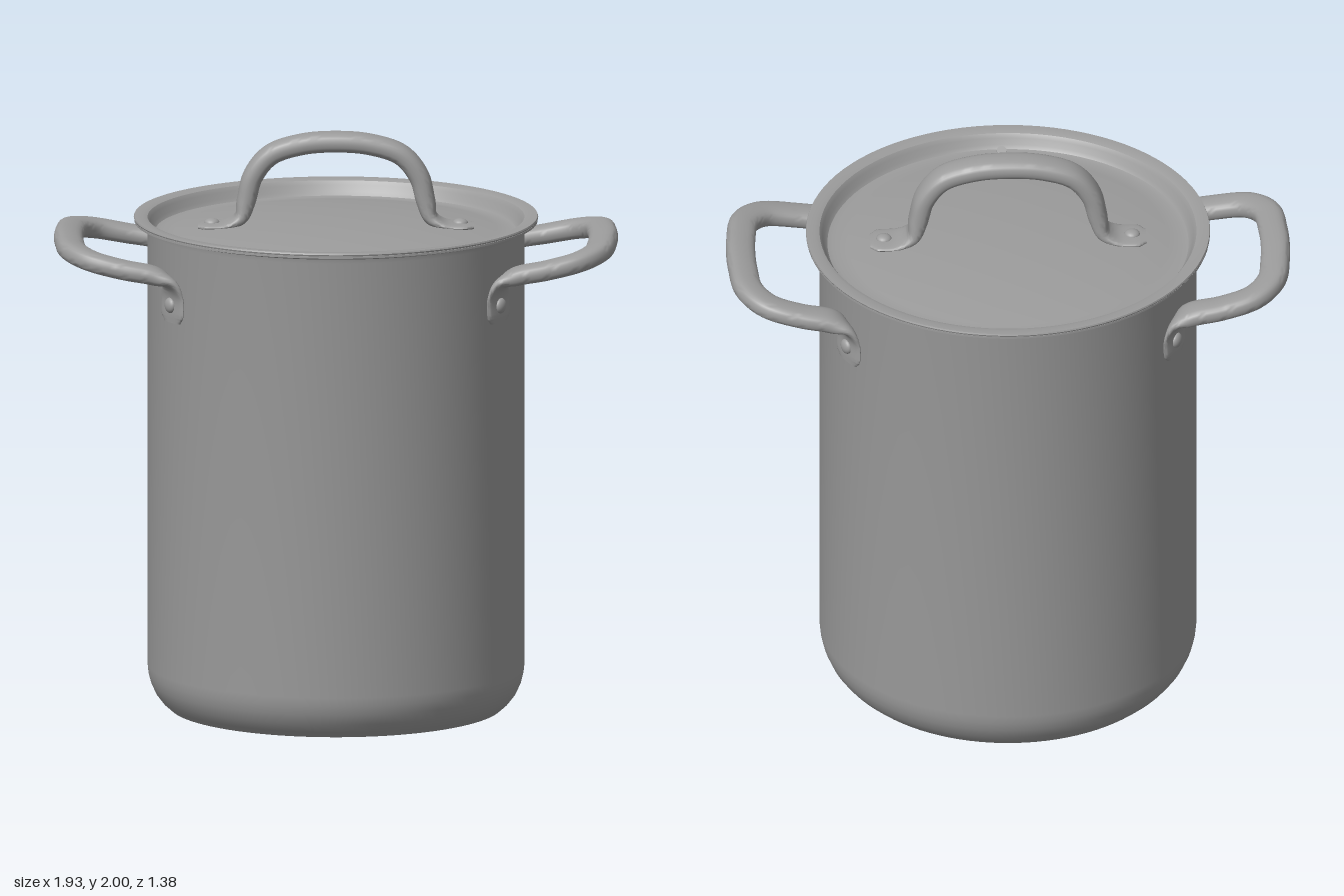
import * as THREE from 'three';
import { toCreasedNormals } from 'three/addons/utils/BufferGeometryUtils.js';

const steel = new THREE.MeshStandardMaterial({ color: 0x9c9c9c });
steel.name = 'brushed steel';

function part(name, geometry) {
  const mesh = new THREE.Mesh(geometry, steel);
  mesh.name = name;
  return mesh;
}

function turned(name, profile) {
  const pts = profile.map(([r, y]) => new THREE.Vector2(r, y));
  return part(name, toCreasedNormals(new THREE.LatheGeometry(pts, 96), 0.6));
}

// Sweeps a rounded bar along stations { p: centre, w: width direction, s: [half width, half thickness] }
function sweep(stations, steps = 120, sides = 24) {
  const path = new THREE.CatmullRomCurve3(stations.map(a => new THREE.Vector3(...a.p)));
  const curve = list => new THREE.CatmullRomCurve3(list, false, 'catmullrom', 0.4);
  const widths = curve(stations.map(a => new THREE.Vector3(...a.w)));
  const sizes = curve(stations.map(a => new THREE.Vector3(...a.s, 0)));
  const pos = [], index = [];
  const soft = v => Math.sign(v) * Math.abs(v) ** 0.75;
  for (let i = 0; i <= steps; i++) {
    const t = i / steps, c = path.getPoint(t), s = sizes.getPoint(t);
    const T = path.getTangent(t), W = widths.getPoint(t);
    W.addScaledVector(T, -W.dot(T)).normalize();
    const N = T.clone().cross(W);
    for (let j = 0; j < sides; j++) {
      const a = j / sides * Math.PI * 2;
      const v = c.clone().addScaledVector(W, soft(Math.cos(a)) * s.x).addScaledVector(N, soft(Math.sin(a)) * s.y);
      pos.push(v.x, v.y, v.z);
      if (i < steps) {
        const k = (j + 1) % sides, r = i * sides, q = r + sides;
        index.push(r + j, r + k, q + j, r + k, q + k, q + j);
      }
    }
  }
  // end caps
  const last = steps * sides;
  for (let j = 1; j < sides - 1; j++) {
    index.push(0, j + 1, j, last, last + j, last + j + 1);
  }
  const g = new THREE.BufferGeometry();
  g.setAttribute('position', new THREE.Float32BufferAttribute(pos, 3));
  g.setIndex(index);
  return toCreasedNormals(g, 0.9);
}

// Completes a symmetric bar from its first half, whose last station is the middle
function mirrored(half, axis, flipWidth) {
  const rest = half.slice(0, -1).reverse().map(({ p, w, s }) => ({
    p: p.map((v, i) => (i === axis ? -v : v)),
    w: flipWidth ? w.map((v, i) => (i === axis ? -v : v)) : w,
    s,
  }));
  return [...half, ...rest];
}

// Low domed rivet head whose axis points along dir
function rivet(x, y, z, dir) {
  const g = new THREE.SphereGeometry(0.027, 20, 8, 0, Math.PI * 2, 0, Math.PI / 2);
  g.scale(1, 0.6, 1);
  const m = part('rivet', g);
  m.position.set(x, y, z);
  m.quaternion.setFromUnitVectors(new THREE.Vector3(0, 1, 0), dir.clone().normalize());
  return m;
}

function sideHandle() {
  const g = new THREE.Group();
  const wall = [-0.51, 0, 0.86], leg = [0, 0, 1];
  const half = [
    { p: [0.558, 1.4, 0.334], w: wall, s: [0.05, 0.008] },
    { p: [0.558, 1.425, 0.334], w: wall, s: [0.07, 0.009] },
    { p: [0.558, 1.49, 0.334], w: wall, s: [0.07, 0.01] },
    { p: [0.571, 1.537, 0.336], w: [-0.35, 0, 0.93], s: [0.064, 0.02] },
    { p: [0.62, 1.562, 0.336], w: leg, s: [0.056, 0.031] },
    { p: [0.72, 1.581, 0.333], w: leg, s: [0.052, 0.033] },
    { p: [0.83, 1.605, 0.305], w: [0.4, 0.08, 0.9], s: [0.051, 0.034] },
    { p: [0.893, 1.622, 0.225], w: [0.88, 0.17, 0.4], s: [0.05, 0.034] },
    { p: [0.911, 1.629, 0.1], w: [1, 0.2, 0.1], s: [0.05, 0.034] },
    { p: [0.915, 1.631, 0], w: [1, 0.2, 0], s: [0.05, 0.034] },
  ];
  g.add(part('handleBar', sweep(mirrored(half, 2, true))));
  for (const s of [1, -1]) {
    g.add(rivet(0.565, 1.46, s * 0.338, new THREE.Vector3(0.86, 0, s * 0.51)));
  }
  return g;
}

function lidHandle() {
  const g = new THREE.Group();
  g.name = 'lidHandle';
  const w = [0, 0, 1];
  const half = [
    { p: [0.472, 1.673, 0], w, s: [0.045, 0.008] },
    { p: [0.445, 1.675, 0], w, s: [0.07, 0.009] },
    { p: [0.375, 1.679, 0], w, s: [0.07, 0.011] },
    { p: [0.325, 1.703, 0], w, s: [0.06, 0.024] },
    { p: [0.307, 1.76, 0], w, s: [0.056, 0.033] },
    { p: [0.284, 1.845, 0], w, s: [0.055, 0.035] },
    { p: [0.225, 1.918, 0], w, s: [0.055, 0.035] },
    { p: [0.12, 1.955, 0], w, s: [0.055, 0.035] },
    { p: [0, 1.965, 0], w, s: [0.055, 0.035] },
  ];
  g.add(part('lidHandleBar', sweep(mirrored(half, 0, false))));
  for (const s of [1, -1]) g.add(rivet(s * 0.425, 1.682, 0, new THREE.Vector3(0, 1, 0)));
  return g;
}

export function createModel() {
  const model = new THREE.Group();
  model.name = 'stockPot';

  // Pot body: rounded base, straight wall, flared lip, inner wall
  model.add(turned('potBody', [
    [0, 0], [0.57, 0], [0.595, 0.022], [0.618, 0.052], [0.634, 0.088], [0.642, 0.12], [0.645, 0.15],
    [0.645, 1.665], [0.648, 1.68], [0.658, 1.689], [0.69, 1.691], [0.69, 1.698], [0.645, 1.697],
    [0.63, 1.66], [0.63, 0.15], [0.56, 0.03], [0, 0.03],
  ]));

  // Sunken, slightly domed lid with a flat rim
  model.add(turned('lid', [
    [0, 1.675], [0.25, 1.67], [0.45, 1.657], [0.6, 1.638], [0.627, 1.655], [0.635, 1.69], [0.65, 1.699],
    [0.69, 1.699], [0.692, 1.704], [0.69, 1.709], [0.66, 1.709], [0.645, 1.704], [0.635, 1.69],
    [0.628, 1.668], [0.618, 1.656], [0.6, 1.652], [0.55, 1.659], [0.45, 1.671], [0.25, 1.684], [0, 1.689],
  ]));

  // Steam vent at the front of the lid
  const vent = part('steamVent', new THREE.CylinderGeometry(0.017, 0.017, 0.006, 20));
  vent.position.set(0, 1.656, 0.608);
  vent.rotation.x = -0.5;
  model.add(vent);

  model.add(lidHandle());
  const left = sideHandle(), right = sideHandle();
  left.name = 'leftHandle';
  right.name = 'rightHandle';
  right.rotation.y = Math.PI;
  model.add(left, right);
  return model;
}
